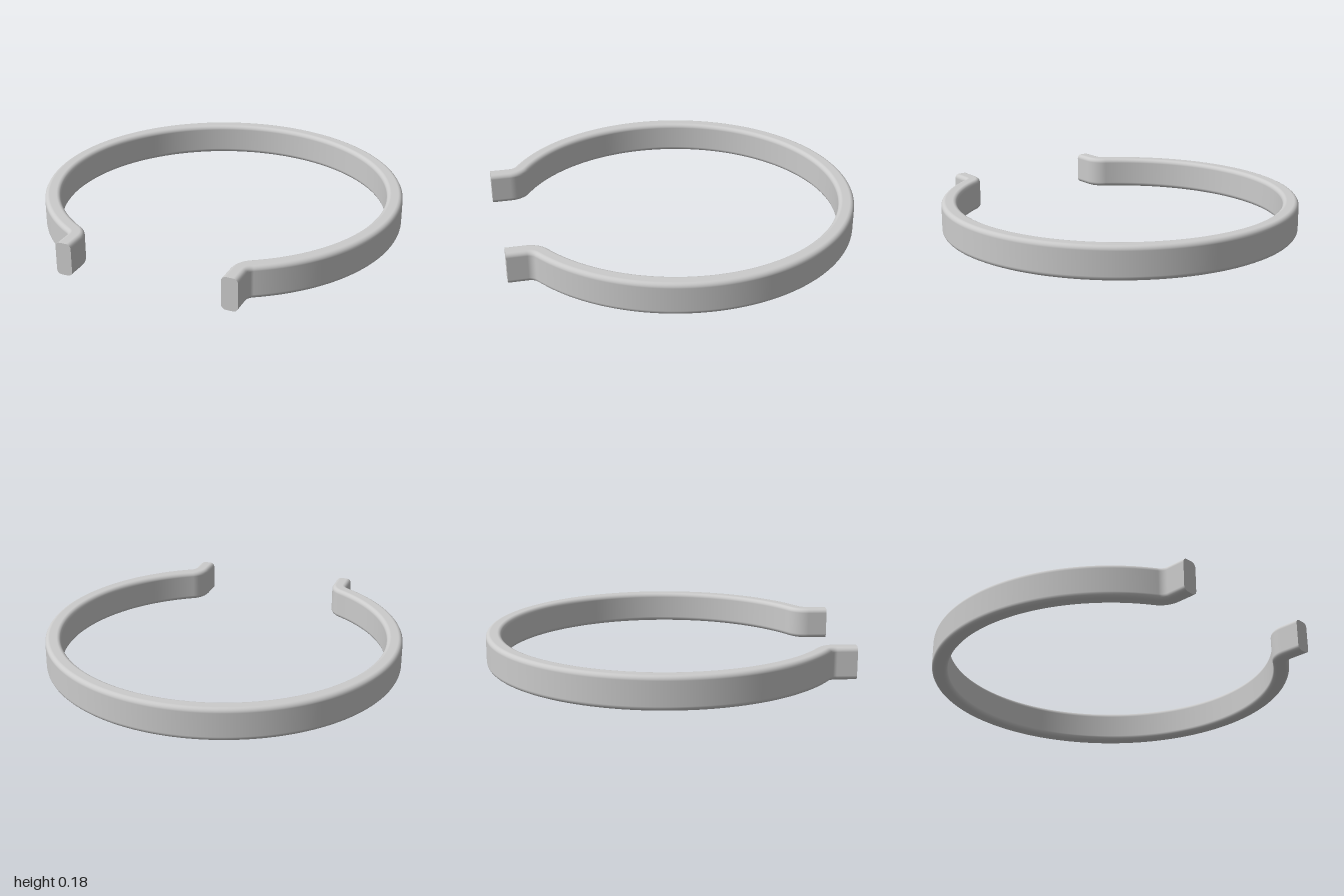
import * as THREE from 'three';

const WIDTH = 0.088, HEIGHT = 0.18, CORNER = 0.025;
const RING = 1 - WIDTH / 2;   // centre-line radius of the ring
const LEG_X = 0.456;          // centre line of each end tab
const BEND = 0.09;            // centre-line radius of the bend into the tab

// Rounded-rectangle cross-section, counter-clockwise: position and normal
function makeSection() {
  const pts = [], steps = 5;
  const corners = [[1, 1], [-1, 1], [-1, -1], [1, -1]];
  corners.forEach(([su, sv], q) => {
    for (let k = 0; k <= steps; k++) {
      const a = (q + k / steps) * Math.PI / 2, c = Math.cos(a), s = Math.sin(a);
      pts.push({
        u: su * (WIDTH / 2 - CORNER) + CORNER * c,
        v: HEIGHT / 2 + sv * (HEIGHT / 2 - CORNER) + CORNER * s,
        nu: c, nv: s,
      });
    }
  });
  return pts;
}

// Centre line in the ground plane with its outward direction
function makePath() {
  const cx = LEG_X + BEND, cz = Math.sqrt((RING + BEND) ** 2 - cx * cx);
  const theta = Math.atan2(cz, cx);
  const end = [{ x: LEG_X, z: 1, nx: 1, nz: 0 }];
  for (let k = 0; k <= 12; k++) {
    const a = theta * k / 12, nx = Math.cos(a), nz = Math.sin(a);
    end.push({ x: cx - BEND * nx, z: cz - BEND * nz, nx, nz });
  }
  const arc = [], n = 140, sweep = Math.PI + 2 * theta;
  for (let k = 1; k < n; k++) {
    const a = theta - sweep * k / n, nx = Math.cos(a), nz = Math.sin(a);
    arc.push({ x: RING * nx, z: RING * nz, nx, nz });
  }
  const mirrored = end.map(p => ({ x: -p.x, z: p.z, nx: -p.nx, nz: p.nz })).reverse();
  return [...end, ...arc, ...mirrored];
}

// Sweep the section along the path
function sweepGeometry(path, section) {
  const pos = [], nor = [], idx = [], m = section.length;
  path.forEach((p, i) => {
    section.forEach((s, j) => {
      pos.push(p.x + p.nx * s.u, s.v, p.z + p.nz * s.u);
      nor.push(p.nx * s.nu, s.nv, p.nz * s.nu);
      if (i === path.length - 1) return;
      const a = i * m + j, b = i * m + (j + 1) % m;
      idx.push(a, a + m, b, b, a + m, b + m);
    });
  });
  const g = new THREE.BufferGeometry();
  g.setAttribute('position', new THREE.Float32BufferAttribute(pos, 3));
  g.setAttribute('normal', new THREE.Float32BufferAttribute(nor, 3));
  g.setIndex(idx);
  return g;
}

export function createModel() {
  const group = new THREE.Group();
  group.name = 'openRing';
  const material = new THREE.MeshStandardMaterial({ color: 0xcccccc });
  const section = makeSection();

  // Ring with its bent tabs
  const band = new THREE.Mesh(sweepGeometry(makePath(), section), material);
  band.name = 'ringBand';
  group.add(band);

  // Flat end faces of the two tabs
  const capShape = new THREE.Shape(section.map(s => new THREE.Vector2(s.u, s.v)));
  const capGeometry = new THREE.ShapeGeometry(capShape);
  for (const side of [1, -1]) {
    const cap = new THREE.Mesh(capGeometry, material);
    cap.name = side > 0 ? 'leftTabEnd' : 'rightTabEnd';
    cap.position.set(side * LEG_X, 0, 1);
    group.add(cap);
  }
  return group;
}
